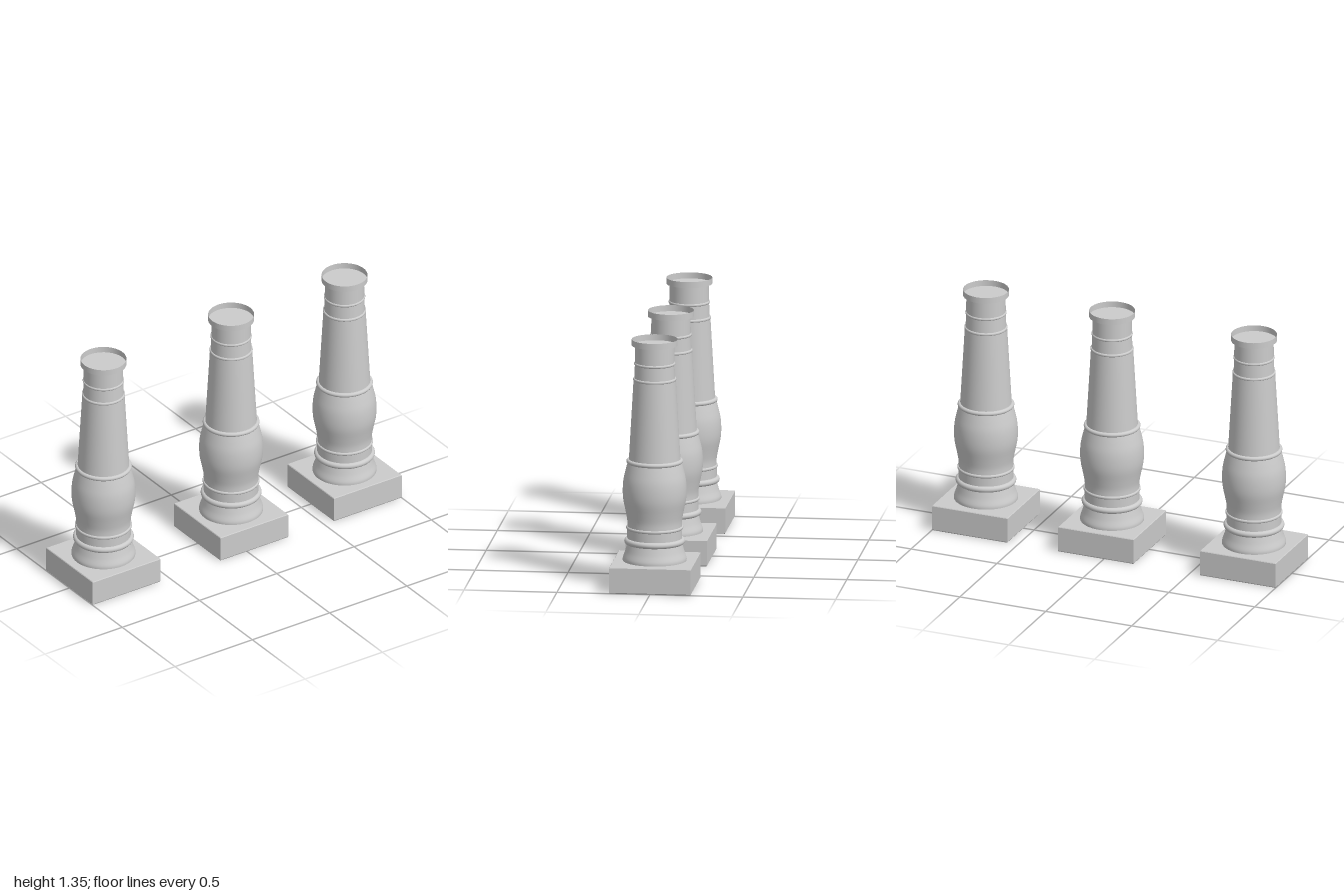
import * as THREE from 'three';

const SIDES = 48;
const material = new THREE.MeshStandardMaterial({ color: 0xcccccc, side: THREE.DoubleSide });

function addMesh(parent, name, geometry) {
  const mesh = new THREE.Mesh(geometry, material);
  mesh.name = name;
  parent.add(mesh);
  return mesh;
}

const points = (pairs) => pairs.map(([r, y]) => new THREE.Vector2(r, y));

// Turned section through [radius, height] points, optionally smoothed by a spline
function turned(parent, name, pairs, smooth = false) {
  let profile = points(pairs);
  if (smooth) profile = new THREE.SplineCurve(profile).getPoints(24);
  return addMesh(parent, name, new THREE.LatheGeometry(profile, SIDES));
}

// Rounded moulding around the column: outer radius, wall radius, bottom and top height
function moulding(parent, name, outer, inner, bottom, top) {
  const mid = (bottom + top) / 2, half = (top - bottom) / 2;
  const bulge = Math.min(half, outer - inner);
  const pairs = [[inner - 0.01, bottom]];
  for (let i = 0; i <= 8; i++) {
    const a = -Math.PI / 2 + (i / 8) * Math.PI;
    pairs.push([outer - bulge + bulge * Math.cos(a), mid + half * Math.sin(a)]);
  }
  pairs.push([inner - 0.01, top]);
  turned(parent, name, pairs);
}

// Flat horizontal disc, facing up or down
function disc(parent, name, radius, y, up) {
  const geometry = new THREE.CircleGeometry(radius, SIDES);
  geometry.rotateX(up ? -Math.PI / 2 : Math.PI / 2);
  geometry.translate(0, y, 0);
  addMesh(parent, name, geometry);
}

function createColumn() {
  const column = new THREE.Group();

  // Square plinth, hollow and open underneath, with fine chamfers
  const d = Math.SQRT2;
  const plinth = new THREE.LatheGeometry(
    points([[0.217 * d, 0], [0.22 * d, 0.005], [0.22 * d, 0.139], [0.217 * d, 0.143], [0, 0.143]]),
    4, Math.PI / 4
  ).toNonIndexed();
  plinth.computeVertexNormals();
  addMesh(column, 'plinth', plinth);
  disc(column, 'columnUnderside', 0.171, 0.141, false);

  // Flared foot and lower neck
  turned(column, 'foot', [[0.171, 0.141], [0.17, 0.16], [0.158, 0.195], [0.147, 0.237]], true);
  moulding(column, 'footRing', 0.163, 0.147, 0.233, 0.266);
  turned(column, 'lowerNeck', [[0.147, 0.262], [0.147, 0.32]]);
  moulding(column, 'lowerNeckRing', 0.153, 0.146, 0.314, 0.331);

  // Swelling belly
  turned(column, 'belly', [
    [0.146, 0.328], [0.147, 0.365], [0.156, 0.415], [0.168, 0.475],
    [0.171, 0.53], [0.167, 0.585], [0.156, 0.635], [0.145, 0.677]
  ], true);
  moulding(column, 'bellyRing', 0.152, 0.14, 0.673, 0.697);

  // Tapered shaft and upper neck
  turned(column, 'shaft', [[0.138, 0.695], [0.113, 1.13]]);
  moulding(column, 'shaftRing', 0.116, 0.11, 1.124, 1.14);
  turned(column, 'upperNeck', [[0.109, 1.138], [0.106, 1.215]]);
  moulding(column, 'upperNeckRing', 0.111, 0.105, 1.21, 1.225);
  turned(column, 'topNeck', [[0.106, 1.222], [0.105, 1.317]]);

  // Open collar with a recessed floor
  disc(column, 'collarFloor', 0.123, 1.317, true);
  turned(column, 'collar', [[0.123, 1.317], [0.123, 1.35]]);
  return column;
}

export function createModel() {
  const model = new THREE.Group();
  model.name = 'columns';
  const places = { rightColumn: -0.78, middleColumn: 0.046, leftColumn: 0.78 };
  for (const [name, x] of Object.entries(places)) {
    const column = createColumn();
    column.name = name;
    column.position.x = x;
    model.add(column);
  }
  return model;
}
